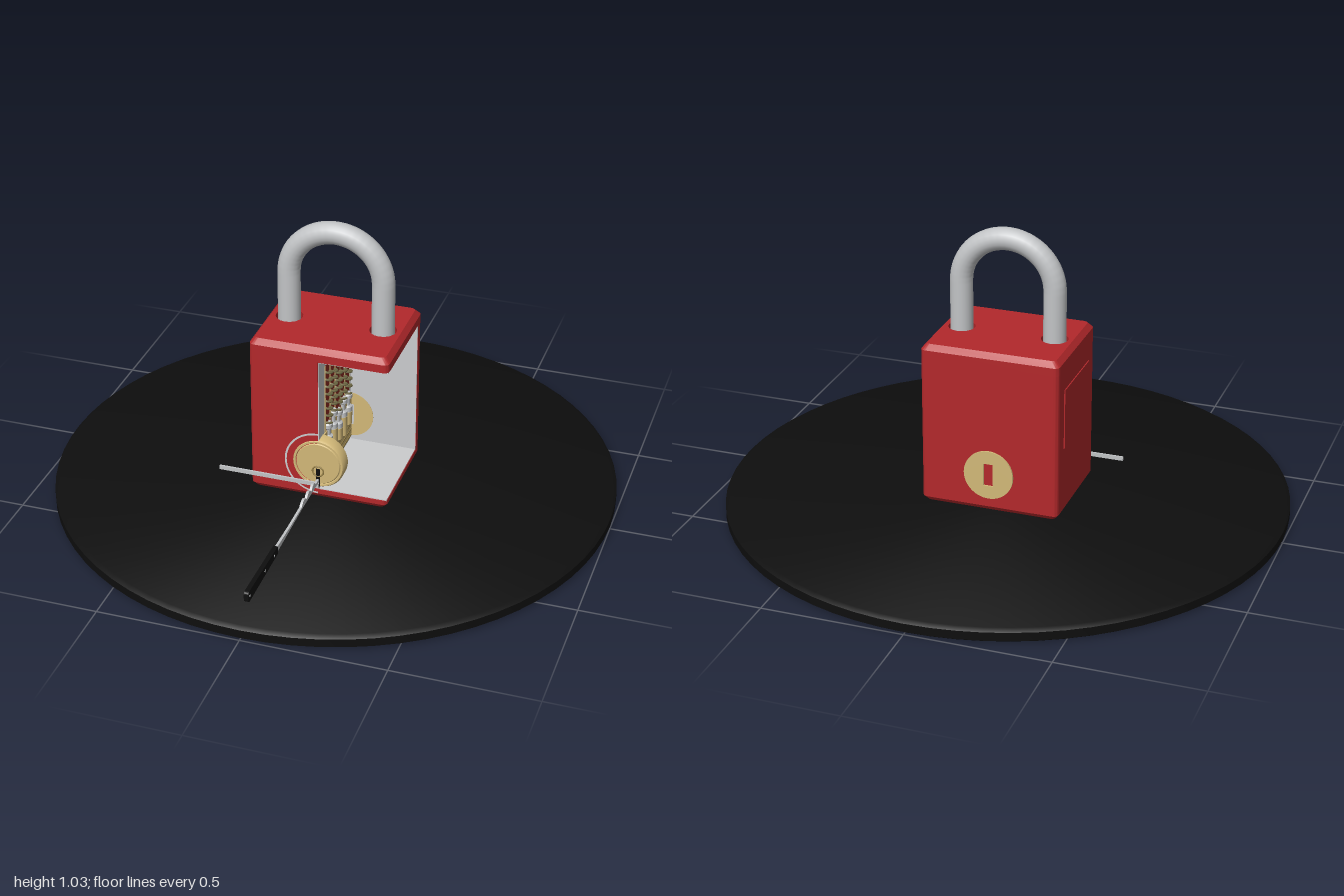
import * as THREE from 'three';
import { toCreasedNormals, mergeVertices } from 'three/addons/utils/BufferGeometryUtils.js';

const mat = (name, color, side = THREE.FrontSide) => {
  const m = new THREE.MeshStandardMaterial({ color, side });
  m.name = name;
  return m;
};

export function createModel() {
  const red = mat('red enamel', 0xb3282b);
  const silver = mat('steel', 0xc2c4c6);
  const grey = mat('cut surface grey', 0xcbccce, THREE.DoubleSide);
  const brass = mat('brass', 0xd2b878);
  const black = mat('black', 0x0e0e0e);
  const darkRed = mat('chamber red', 0x8c2a22);
  const olive = mat('spring olive', 0x77704a);
  const darkBrass = mat('dark brass', 0x9a8348);

  const model = new THREE.Group();
  model.name = 'cutawayPadlock';
  const add = (name, geo, material, x = 0, y = 0, z = 0) => {
    const mesh = new THREE.Mesh(geo, material);
    mesh.name = name;
    mesh.position.set(x, y, z);
    model.add(mesh);
    return mesh;
  };
  const box = (name, w, h, d, material, x, y, z) =>
    add(name, new THREE.BoxGeometry(w, h, d), material, x, y, z);
  const crease = (geo, a = 0.6) => toCreasedNormals(geo, a);
  // Solid of revolution from [radius, height] pairs listed bottom to top
  const lathe = (pts, seg = 40) =>
    crease(new THREE.LatheGeometry(pts.map((p) => new THREE.Vector2(...p)), seg));
  // Footprint (x, -z) raised along y
  const raise = (shape, h) =>
    new THREE.ExtrudeGeometry(shape, { depth: h, bevelEnabled: false, curveSegments: 8 }).rotateX(-Math.PI / 2);
  // Side profile (z, y) with thickness t across x
  const profile = (shape, t) =>
    new THREE.ExtrudeGeometry(shape, { depth: t, bevelEnabled: false, curveSegments: 8 })
      .rotateY(-Math.PI / 2).translate(t / 2, 0, 0);

  // Display base
  add('base', lathe([[0, 0], [0.985, 0], [1, 0.01], [1, 0.04], [0.985, 0.05], [0, 0.05]], 72), black);

  // Body: lid and floor slabs around an L-shaped wall
  const X = 0.25, Z = 0.2, R = 0.022;
  const footprint = () => {
    const s = new THREE.Shape();
    s.moveTo(-X + R, -Z);
    s.lineTo(X - R, -Z); s.quadraticCurveTo(X, -Z, X, -Z + R);
    s.lineTo(X, Z - R); s.quadraticCurveTo(X, Z, X - R, Z);
    s.lineTo(-X + R, Z); s.quadraticCurveTo(-X, Z, -X, Z - R);
    s.lineTo(-X, -Z + R); s.quadraticCurveTo(-X, -Z, -X + R, -Z);
    return s;
  };
  // Pull the outer rim inwards at one height to make a bevel
  const bevelRim = (geo, atY, b) => {
    const p = geo.attributes.position;
    for (let i = 0; i < p.count; i++) {
      const x = p.getX(i), z = p.getZ(i);
      if (Math.abs(p.getY(i) - atY) > 1e-4) continue;
      if (Math.abs(x) > 0.224 || Math.abs(z) > 0.17) {
        p.setX(i, x * (1 - b / X));
        p.setZ(i, z * (1 - b / Z));
      }
    }
    return crease(geo, 0.5);
  };
  const holed = () => {
    const s = footprint();
    for (const side of [-1, 1]) {
      s.holes.push(new THREE.Path().absarc(side * 0.17, 0, 0.048, 0, Math.PI * 2, true));
    }
    return s;
  };
  add('lid', crease(raise(holed(), 0.03)), red, 0, 0.595, 0);
  add('lidBevel', bevelRim(raise(holed(), 0.02), 0.02, 0.016), red, 0, 0.625, 0);
  add('floorSlab', crease(raise(footprint(), 0.017)), red, 0, 0.066, 0);
  add('floorBevel', bevelRim(raise(footprint(), 0.016), 0, 0.012), red, 0, 0.05, 0);

  const wall = new THREE.Shape();
  wall.moveTo(-X + R, -Z);
  wall.lineTo(0, -Z); wall.lineTo(0, 0.158); wall.lineTo(X, 0.158);
  wall.lineTo(X, Z - R); wall.quadraticCurveTo(X, Z, X - R, Z);
  wall.lineTo(-X + R, Z); wall.quadraticCurveTo(-X, Z, -X, Z - R);
  wall.lineTo(-X, -Z + R); wall.quadraticCurveTo(-X, -Z, -X + R, -Z);
  add('bodyWall', crease(raise(wall, 0.515)), red, 0, 0.081, 0);
  box('sidePanel', 0.006, 0.22, 0.27, red, -X - 0.001, 0.41, 0);

  // Grey faces of the cutaway
  box('cutSideFace', 0.004, 0.51, 0.355, grey, 0.001, 0.34, 0.021);
  box('cutBackFace', 0.248, 0.51, 0.004, grey, 0.125, 0.34, -0.157);
  box('cutFloor', 0.246, 0.004, 0.352, grey, 0.125, 0.084, 0.02);
  const ceiling = new THREE.Shape([[0, -0.196], [0.247, -0.196], [0.247, 0.157], [0, 0.157]]
    .map((p) => new THREE.Vector2(...p)));
  ceiling.holes.push(new THREE.Path().absarc(0.17, 0, 0.046, 0, Math.PI * 2, true));
  add('cutCeiling', raise(ceiling, 0.004), grey, 0, 0.591, 0);

  // Shackle
  const bow = new THREE.CurvePath();
  const arch = [new THREE.Vector3(-0.17, 0.575, 0)];
  for (let i = 0; i <= 24; i++) {
    const a = Math.PI * (1 - i / 24);
    arch.push(new THREE.Vector3(0.17 * Math.cos(a), 0.82 + 0.17 * Math.sin(a), 0));
  }
  arch.push(new THREE.Vector3(0.17, 0.575, 0));
  for (let i = 1; i < arch.length; i++) bow.add(new THREE.LineCurve3(arch[i - 1], arch[i]));
  add('shackle', new THREE.TubeGeometry(bow, 90, 0.04, 20), silver);
  for (const side of [-1, 1]) {
    add('shackleEnd', new THREE.CylinderGeometry(0.04, 0.034, 0.008, 20), silver, side * 0.17, 0.573, 0);
  }

  // Plug: full front flange, cut middle, full rear disc
  const plugY = 0.19;
  add('plugFlange', lathe([[0, 0.15], [0.085, 0.15], [0.095, 0.157], [0.095, 0.195], [0.09, 0.203],
    [0.083, 0.203], [0.081, 0.199], [0.078, 0.203], [0, 0.203]]).rotateX(Math.PI / 2), brass, 0, plugY, 0);
  add('housingRing', new THREE.RingGeometry(0.115, 0.122, 32, 1, Math.PI / 2, Math.PI), grey, 0, plugY, 0.202);
  box('plugSection', 0.012, 0.182, 0.312, brass, 0.002, plugY, 0);
  for (const y of [0.108, 0.132, 0.155]) box('keywayGroove', 0.004, 0.005, 0.3, darkBrass, 0.008, y, 0);

  // Rear disc with a tailpiece slot
  const rear = new THREE.Shape().absarc(0, 0, 0.09, 0, Math.PI * 2);
  rear.holes.push(new THREE.Path([[-0.017, -0.042], [-0.017, 0.042], [0.017, 0.042], [0.017, -0.042]]
    .map((p) => new THREE.Vector2(...p))));
  add('rearDisc', crease(new THREE.ExtrudeGeometry(rear,
    { depth: 0.054, bevelEnabled: false, curveSegments: 32 })), brass, 0, plugY, -0.207);
  box('rearSlotFloor', 0.04, 0.09, 0.03, brass, 0, plugY, -0.183);

  // Keyhole on the flange
  add('keyholeRim', new THREE.TorusGeometry(0.02, 0.003, 6, 20), darkBrass, 0, 0.16, 0.203);
  box('keyholeSlot', 0.014, 0.07, 0.004, black, 0, 0.135, 0.203);

  // Five pin stacks with springs
  const tips = [0.165, 0.15, 0.16, 0.145, 0.16];
  const shear = [0.235, 0.255, 0.225, 0.24, 0.23];
  tips.forEach((tip, i) => {
    const z = 0.11 - i * 0.055, cut = shear[i], top = cut + 0.075;
    box('chamber', 0.005, 0.265, 0.046, darkRed, 0.002, 0.4125, z);
    for (const e of [-1, 1]) box('chamberEdge', 0.008, 0.265, 0.004, brass, 0.002, 0.4125, z + e * 0.0245);
    add('keyPin', lathe([[0, tip], [0.008, tip + 0.003], [0.02, tip + 0.02], [0.02, cut], [0, cut]], 16), brass, 0.004, 0, z);
    add('driverPin', lathe([[0, cut], [0.02, cut + 0.001], [0.02, cut + 0.02], [0.012, cut + 0.026],
      [0.012, cut + 0.05], [0.02, cut + 0.056], [0.02, top - 0.006], [0.014, top], [0, top]], 16), silver, 0.004, 0, z);
    const coil = [];
    for (let k = 0; k <= 80; k++) {
      const a = (k / 10) * Math.PI * 2;
      coil.push(new THREE.Vector3(0.016 * Math.cos(a), top + (0.54 - top) * k / 80, 0.018 * Math.sin(a)));
    }
    add('spring', new THREE.TubeGeometry(new THREE.CatmullRomCurve3(coil), 120, 0.0045, 6), olive, 0.005, 0, z);
  });

  // Pick: wavy steel blade and black handle
  const blade = new THREE.Shape();
  blade.moveTo(0.15, 0.118);
  blade.lineTo(0.22, 0.118); blade.lineTo(0.38, 0.12); blade.lineTo(0.5, 0.115); blade.lineTo(0.66, 0.108);
  blade.lineTo(0.66, 0.13); blade.lineTo(0.5, 0.126); blade.lineTo(0.39, 0.128);
  for (const z of [0.36, 0.31, 0.26]) {
    blade.quadraticCurveTo(z, 0.158, z - 0.022, 0.13);
    blade.lineTo(z - 0.026, 0.13);
  }
  blade.lineTo(0.15, 0.128);
  add('pickBlade', profile(blade, 0.009), silver);
  const handle = new THREE.Shape();
  handle.moveTo(0.645, 0.106);
  handle.lineTo(0.915, 0.1); handle.quadraticCurveTo(0.93, 0.1, 0.93, 0.112);
  handle.lineTo(0.93, 0.13); handle.quadraticCurveTo(0.93, 0.14, 0.915, 0.14);
  handle.lineTo(0.645, 0.135);
  add('pickHandle', profile(handle, 0.016), black);
  for (const z of [0.68, 0.77, 0.915]) {
    add('handleRivet', new THREE.CylinderGeometry(0.005, 0.005, 0.018, 10).rotateZ(Math.PI / 2), silver, 0, 0.12, z);
  }

  // Tension wrench: flat bar with a short leg in the keyway
  box('wrenchBar', 0.365, 0.015, 0.007, silver, -0.178, 0.116, 0.217);
  box('wrenchLeg', 0.008, 0.015, 0.06, silver, 0.001, 0.108, 0.19);

  return model;
}
